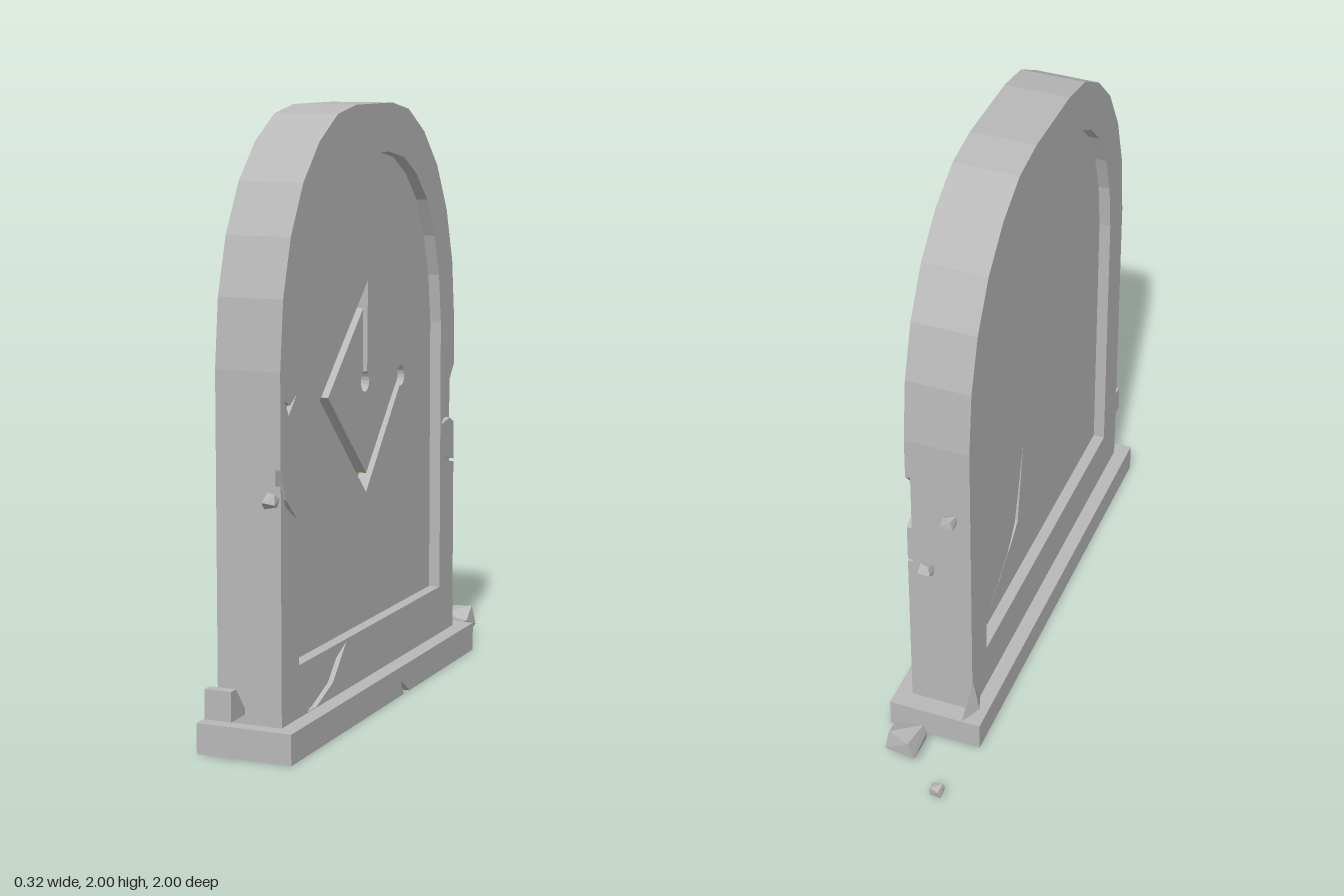
import * as THREE from 'three';
import { ConvexGeometry } from 'three/addons/geometries/ConvexGeometry.js';

const stone = new THREE.MeshStandardMaterial({ color: 0xb8b8b8, flatShading: true });
stone.name = 'grey stone';
const gold = new THREE.MeshStandardMaterial({ color: 0xc9bd35, flatShading: true });
gold.name = 'yellow inlay';

// Outlines are drawn as [u, y], where u = -z; the slab is centred on u = -0.08.
const CENTRE = -0.08;
const OUTER = [[0.73, 0.09], [0.73, 1.21], [0.707, 1.43], [0.65, 1.615], [0.557, 1.775], [0.435, 1.895], [0.295, 1.975], [0.15, 2]];
const INNER = [[0.6, 0.27], [0.6, 1.22], [0.58, 1.39], [0.535, 1.53], [0.465, 1.66], [0.365, 1.755], [0.255, 1.815], [0.12, 1.84]];

// Mirrors half an arch; notches are spliced into the straight sides.
function arch(half, rightNotch = [], leftNotch = []) {
  const right = half.map(([u, y]) => [CENTRE + u, y]);
  const left = half.map(([u, y]) => [CENTRE - u, y]).reverse();
  const n = left.length - 1;
  return [right[0], ...rightNotch, ...right.slice(1), ...left.slice(0, n), ...leftNotch, left[n]];
}

const vectors = (pts) => pts.map(([u, y]) => new THREE.Vector2(u, y));

function shapeOf(pts, holes = []) {
  const shape = new THREE.Shape(vectors(pts));
  holes.forEach((h) => shape.holes.push(new THREE.Path(vectors(h))));
  return shape;
}

function add(group, name, geometry, material = stone) {
  const mesh = new THREE.Mesh(geometry, material);
  mesh.name = name;
  group.add(mesh);
  return mesh;
}

// Extrudes an outline along x from x0 to x1.
function layer(group, name, x0, x1, pts, holes, material) {
  const geo = new THREE.ExtrudeGeometry(shapeOf(pts, holes), { depth: x1 - x0, bevelEnabled: false });
  geo.rotateY(Math.PI / 2);
  geo.translate(x0, 0, 0);
  return add(group, name, geo, material);
}

// Points around a circle between two angles in degrees.
function arc(u, y, r, from, to, steps = 14) {
  return Array.from({ length: steps + 1 }, (_, i) => {
    const a = THREE.MathUtils.degToRad(from + ((to - from) * i) / steps);
    return [u + r * Math.cos(a), y + r * Math.sin(a)];
  });
}

function disc(group, name, x0, x1, u, y, r, material) {
  const geo = new THREE.CylinderGeometry(r, r, x1 - x0, 20);
  geo.rotateZ(Math.PI / 2);
  geo.translate((x0 + x1) / 2, y, -u);
  return add(group, name, geo, material);
}

function rock(group, name, x, y, z, sx, sy, sz, turn) {
  const pts = [[-1, -1, -0.8], [1, -0.9, -0.6], [0.9, -1, 0.5], [-0.9, -0.7, 1], [-0.6, 0.5, -1],
    [0.8, 0.9, -0.7], [1, 0.5, 0.7], [-0.8, 1, 0.6], [-1, 0.2, 0.8]];
  const geo = new ConvexGeometry(pts.map(([a, b, c]) => new THREE.Vector3((a * sx) / 2, (b * sy) / 2, (c * sz) / 2)));
  const mesh = add(group, name, geo);
  mesh.position.set(x, y, z);
  mesh.rotation.x = turn;
  return mesh;
}

export function createModel() {
  const model = new THREE.Group();
  model.name = 'stoneMarker';

  // Base, with a small chip in its right face
  const baseBox = [[-0.86, 0], [0.715, 0], [0.715, 0.1], [-0.86, 0.1]];
  layer(model, 'base', -0.165, 0.14, baseBox);
  layer(model, 'baseFace', 0.14, 0.16,
    [baseBox[0], [0.05, 0], [0.025, 0.05], [0.06, 0.03], [0.1, 0], ...baseBox.slice(1)]);

  // Slab: raised frames either side of a core with sunken panels
  const outer = arch(OUTER);
  const inner = arch(INNER);
  const backCrack = [[0.45, 0.28], [0.18, 0.45], [0.12, 0.5], [0.07, 0.8], [0.15, 0.51], [0.22, 0.43]];
  layer(model, 'backFrame', -0.115, -0.075, outer, [inner]);
  layer(model, 'backPanel', -0.075, -0.055, outer, [backCrack]);
  layer(model, 'core', -0.055, 0.015, outer);

  // Carved channel with round ends
  const groove = [
    [-0.04, 1.42], [-0.43, 1.07], [-0.055, 0.71], ...arc(0.245, 1.065, 0.035, -105, 195),
    [-0.055, 0.775], [-0.365, 1.07], [-0.08, 1.33], ...arc(-0.063, 1.085, 0.035, 119, 421),
  ];
  layer(model, 'carvedPanel', 0.015, 0.065, outer, [groove]);
  layer(model, 'channelInlay', 0.014, 0.018, groove, [], gold);
  disc(model, 'inlayButton', 0.017, 0.024, -0.063, 1.085, 0.029, gold);
  disc(model, 'channelEnd', 0.015, 0.04, 0.245, 1.065, 0.0345, stone);

  // Front frame, its outer half broken by cracks and chips
  const rightNotch = [[0.65, 0.705], [0.575, 0.72], [0.54, 0.775], [0.565, 0.77], [0.585, 0.73], [0.65, 0.715],
    [0.65, 0.85], [0.61, 0.87], [0.53, 0.855], [0.58, 0.91], [0.6, 1.0], [0.65, 1.06]];
  const leftNotch = [[-0.81, 0.91], [-0.77, 0.81], [-0.69, 0.735], [-0.775, 0.79], [-0.81, 0.86]];
  const cracks = [
    [[-0.62, 0.102], [-0.5, 0.18], [-0.31, 0.262], [-0.42, 0.15], [-0.55, 0.102]],
    [[-0.69, 1.13], [-0.74, 1.1], [-0.78, 1.12], [-0.75, 1.07]],
  ];
  layer(model, 'frontFrame', 0.065, 0.088, outer, [inner]);
  layer(model, 'crackedFrame', 0.088, 0.105, arch(OUTER, rightNotch, leftNotch), [inner, ...cracks]);

  // Splinter leaning at the rear corner
  add(model, 'splinter', new ConvexGeometry([
    [-0.115, 0.22, -0.64], [-0.135, 0.1, -0.64], [-0.1, 0.1, -0.715], [-0.115, 0.1, -0.58],
  ].map((p) => new THREE.Vector3(...p))));

  // Broken block and scattered chips
  layer(model, 'brokenBlock', -0.065, 0.025,
    [[-1, 0.16], [-0.905, 0.16], [-0.905, 0.18], [-0.965, 0.255], [-1, 0.255]]);
  rock(model, 'largeRock', 0.055, 0.08, -0.83, 0.11, 0.08, 0.13, 0.25);
  [
    [-0.115, 0.04, -0.975], [-0.1, 1.05, -0.79], [-0.085, 0.975, -0.94], [0.098, 0.825, 0.87],
  ].forEach(([x, y, z], i) => rock(model, 'chip' + (i + 1), x, y, z, 0.042, 0.036, 0.046, i * 0.35));

  return model;
}
